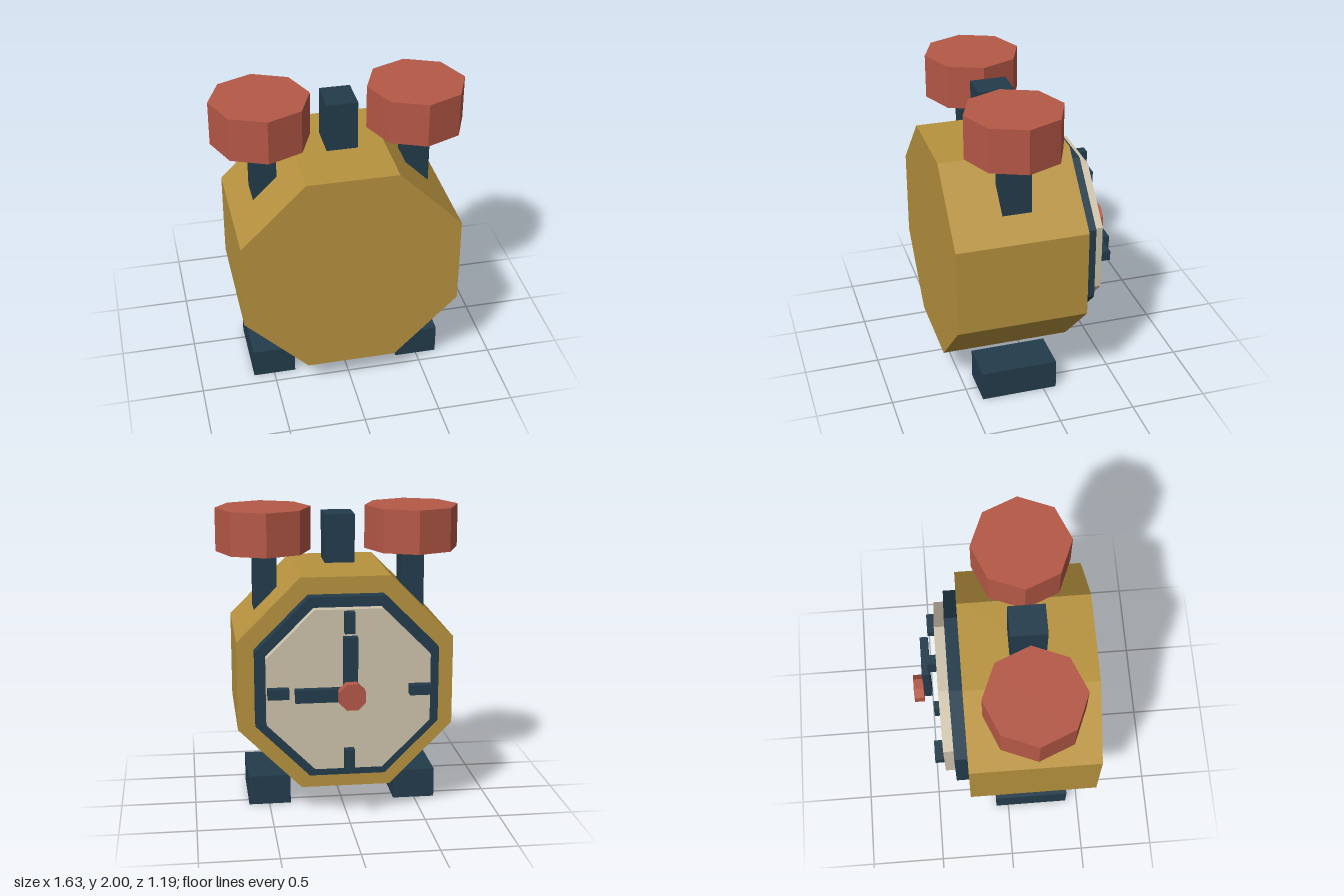
import * as THREE from 'three';

const mat = (name, color) => {
  const m = new THREE.MeshStandardMaterial({ color });
  m.name = name;
  return m;
};

export function createModel() {
  const group = new THREE.Group();
  const brass = mat('brass', 0xb8933f);
  const navy = mat('navy', 0x233c4c);
  const red = mat('red', 0xb55846);
  const cream = mat('cream', 0xcfc3ac);
  const cy = 0.89; // height of the clock centre

  const add = (name, geometry, material) => {
    const mesh = new THREE.Mesh(geometry, material);
    mesh.name = name;
    group.add(mesh);
    return mesh;
  };

  // Box given by its extents on each axis
  const box = (name, material, [x0, x1], [y0, y1], [z0, z1]) =>
    add(name, new THREE.BoxGeometry(x1 - x0, y1 - y0, z1 - z0), material)
      .position.set((x0 + x1) / 2, (y0 + y1) / 2, (z0 + z1) / 2);

  // Octagonal prism with flat creased sides
  const octagon = (radius, height, turn) => {
    const g = new THREE.CylinderGeometry(radius, radius, height, 8).rotateY(turn).toNonIndexed();
    g.computeVertexNormals();
    return g;
  };

  // Octagonal disc lying along z, flat side up, from its half width
  const disc = (name, material, half, z0, z1) =>
    add(name, octagon(half / Math.cos(Math.PI / 8), z1 - z0, Math.PI / 8).rotateX(Math.PI / 2), material)
      .position.set(0, cy, (z0 + z1) / 2);

  // Clock case, bezel and dial (dial faces -z)
  disc('caseBody', brass, 0.712, -0.267, 0.597);
  disc('bezel', navy, 0.6, -0.354, -0.267);
  disc('dial', cream, 0.532, -0.423, -0.354);

  // Hour marks
  const markZ = [-0.484, -0.423];
  box('topMark', navy, [-0.033, 0.033], [1.275, 1.413], markZ);
  box('bottomMark', navy, [-0.033, 0.033], [0.362, 0.5], markZ);

  // Hands and centre cap
  box('uprightHand', navy, [-0.045, 0.045], [0.845, 1.262], [-0.526, -0.475]);
  box('sidewaysHand', navy, [-0.02, 0.356], [0.845, 0.93], [-0.538, -0.483]);
  disc('centreCap', red, 0.085, -0.597, -0.53);

  // Carrying knob
  box('knob', navy, [-0.1, 0.1], [1.635, 1.958], [0.042, 0.276]);

  // Mirrored parts: side marks, bells, stems and feet
  for (const [side, s] of [['left', 1], ['right', -1]]) {
    const span = (a, b) => (s > 0 ? [a, b] : [-b, -a]);
    box(side + 'Mark', navy, span(0.39, 0.527), [0.856, 0.922], markZ);
    box(side + 'Foot', navy, span(0.355, 0.638), [0, 0.2], [-0.087, 0.418]);
    box(side + 'Stem', navy, span(0.42, 0.575), [1.2, 1.73], [0.07, 0.26]);
    add(side + 'Bell', octagon(0.318, 0.29, 0), red).position.set(s * 0.499, 1.855, 0.161);
  }

  return group;
}
